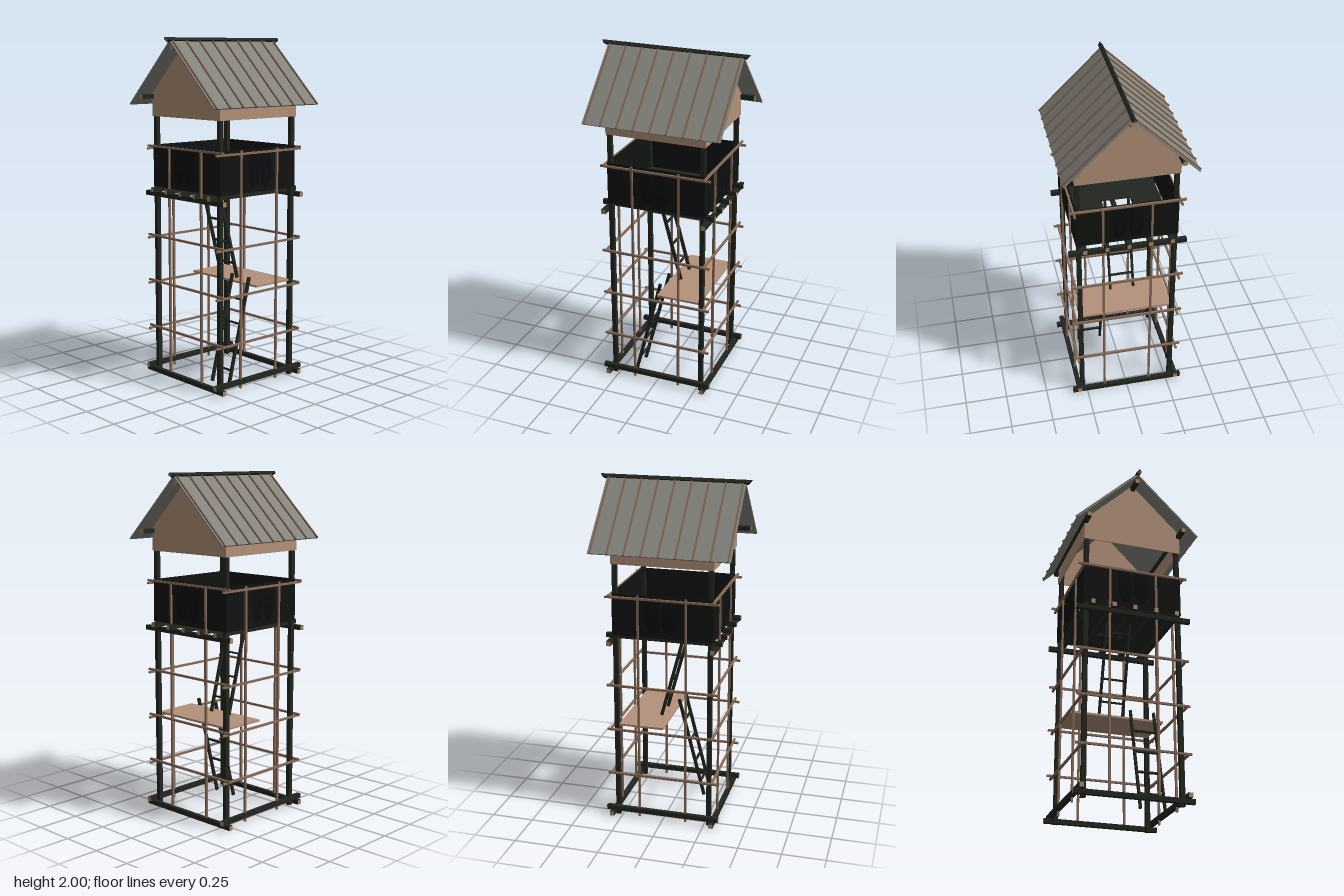
import * as THREE from 'three';

const mat = (color, side = THREE.FrontSide) => new THREE.MeshStandardMaterial({ color, side });

export function createModel() {
  const model = new THREE.Group();
  const dark = mat(0x23261f), black = mat(0x111311), cut = mat(0xa98a62), pole = mat(0x8a6d59);
  const plank = mat(0xb4927a), sheet = mat(0x85857f), batten = mat(0x80634f);
  const shieldMat = mat(0x0c0d0e, THREE.DoubleSide);

  function box(name, w, h, d, x, y, z, material, parent = model) {
    const mesh = new THREE.Mesh(new THREE.BoxGeometry(w, h, d), material);
    mesh.name = name;
    mesh.position.set(x, y, z);
    parent.add(mesh);
    return mesh;
  }
  // Beams show pale cut wood on their two end faces
  const endsX = [cut, cut, dark, dark, dark, dark];
  const endsZ = [dark, dark, dark, dark, cut, cut];

  // Corner posts
  for (const sx of [-1, 1]) for (const sz of [-1, 1])
    box('cornerPost', 0.026, 1.69, 0.026, sx * 0.277, 0.845, sz * 0.277, dark);

  // Base frame and the bearers below the cabin
  for (const s of [-1, 1]) {
    box('baseBeam', 0.68, 0.027, 0.026, 0, 0.023, s * 0.302, endsX);
    box('baseSideBeam', 0.026, 0.027, 0.68, s * 0.302, 0.05, 0, endsZ);
    box('floorBearer', 0.68, 0.027, 0.026, 0, 1.097, s * 0.302, endsX);
  }
  for (let i = -2; i <= 2; i++)
    box('floorJoist', 0.024, 0.027, 0.68, i * 0.125, 1.123, 0, endsZ);

  // Cabin floor with a hatch for the ladder
  const floor = new THREE.Shape([[-0.28, -0.28], [0.28, -0.28], [0.28, 0.28], [-0.28, 0.28]]
    .map(p => new THREE.Vector2(...p)));
  floor.holes.push(new THREE.Path([[-0.11, -0.1], [-0.11, 0.1], [0.07, 0.1], [0.07, -0.1]]
    .map(p => new THREE.Vector2(...p))));
  const floorMesh = new THREE.Mesh(
    new THREE.ExtrudeGeometry(floor, { depth: 0.01, bevelEnabled: false }), dark);
  floorMesh.name = 'cabinFloor';
  floorMesh.rotation.x = Math.PI / 2;
  floorMesh.position.y = 1.147;
  model.add(floorMesh);

  // Curved shield, tapering to a point at the bottom
  const shieldGeo = new THREE.PlaneGeometry(0.088, 0.2, 6, 12);
  const p = shieldGeo.attributes.position;
  for (let i = 0; i < p.count; i++) {
    const u = p.getX(i) / 0.044, v = p.getY(i) / 0.1;
    const width = v > 0 ? 1 : Math.sqrt(Math.max(0, 1 - v * v));
    p.setX(i, p.getX(i) * width);
    p.setZ(i, 0.012 * (1 - v * v) - 0.004 * u * u * width);
  }
  shieldGeo.computeVertexNormals();

  // Four sides: cabin wall, scaffold poles and shields
  const railHeights = [0.29, 0.57, 0.845, 1.375];
  for (let k = 0; k < 4; k++) {
    const side = new THREE.Group();
    side.name = 'towerSide';
    side.rotation.y = k * Math.PI / 2;
    model.add(side);
    const drop = k % 2 ? 0.013 : 0;
    box('cabinWall', 0.58, 0.245, 0.006, 0, 1.26, 0.291, black, side);
    for (const y of railHeights)
      box('scaffoldRail', 0.66, 0.012, 0.012, 0, y - drop, 0.301, pole, side);
    for (const s of [-1, 1]) {
      box('scaffoldUpright', 0.012, 1.37, 0.012, s * 0.14, 0.695, 0.298, pole, side);
      const shield = new THREE.Mesh(shieldGeo, shieldMat);
      shield.name = 'shield';
      shield.position.set(s * 0.046, 1.26, 0.297);
      side.add(shield);
    }
  }

  // Halfway landing
  box('landing', 0.56, 0.012, 0.265, 0, 0.582, -0.132, plank);

  // Ladders, given by foot and head in y and z
  function ladder(name, x, y0, z0, y1, z1, rungs) {
    const g = new THREE.Group();
    g.name = name;
    g.position.set(x, y0, z0);
    g.rotation.x = Math.atan2(z1 - z0, y1 - y0);
    const len = Math.hypot(z1 - z0, y1 - y0);
    for (const s of [-1, 1])
      box('ladderRail', 0.013, len, 0.018, s * 0.071, len / 2, 0, dark, g);
    for (const y of rungs)
      box('ladderRung', 0.14, 0.011, 0.011, 0, len * (y - y0) / (y1 - y0), 0, dark, g);
    model.add(g);
  }
  ladder('lowerLadder', 0.15, 0.005, 0.163, 0.628, 0.003, [0.095, 0.23, 0.36, 0.495]);
  ladder('upperLadder', -0.02, 0.59, -0.06, 1.15, 0.09, [0.68, 0.81, 0.945, 1.08]);

  // Gable boards and side skirts under the roof
  const gable = new THREE.Shape([[-0.295, 1.55], [0.295, 1.55], [0.295, 1.68], [0, 1.97], [-0.295, 1.68]]
    .map(q => new THREE.Vector2(...q)));
  const gableGeo = new THREE.ExtrudeGeometry(gable, { depth: 0.006, bevelEnabled: false });
  for (const s of [-1, 1]) {
    const g = new THREE.Mesh(gableGeo, plank);
    g.name = 'gable';
    g.position.z = s * 0.293 - 0.003;
    model.add(g);
    box('sideSkirt', 0.006, 0.125, 0.586, s * 0.292, 1.613, 0, plank);
    box('eavePurlin', 0.026, 0.026, 0.76, s * 0.29, 1.665, 0, endsZ);
  }
  box('ridgePole', 0.026, 0.026, 0.78, 0, 1.945, 0, endsZ);

  // Roof slopes with battens over the sheet joints
  const slope = Math.atan2(0.362, 0.37), length = Math.hypot(0.362, 0.37);
  for (const s of [-1, 1]) {
    const g = new THREE.Group();
    g.name = 'roofSlope';
    g.position.set(s * 0.183, 1.801, 0);
    g.rotation.z = -s * slope;
    box('roofSheet', length, 0.008, 0.806, 0, 0, 0, sheet, g);
    for (let i = -4; i <= 4; i++)
      box('roofBatten', length + 0.003, 0.01, 0.009, 0, 0.007, i * 0.097, batten, g);
    model.add(g);
  }

  // Ridge cap: square beam set on edge, with ends sloping in below
  const ridgeGeo = new THREE.BoxGeometry(0.02, 0.02, 0.88);
  ridgeGeo.rotateZ(Math.PI / 4);
  const r = ridgeGeo.attributes.position;
  for (let i = 0; i < r.count; i++)
    r.setZ(i, r.getZ(i) - Math.sign(r.getZ(i)) * (0.0141 - r.getY(i)) * 0.8);
  ridgeGeo.computeVertexNormals();
  const ridge = new THREE.Mesh(ridgeGeo, endsZ);
  ridge.name = 'ridgeCap';
  ridge.position.y = 1.986;
  model.add(ridge);

  return model;
}
